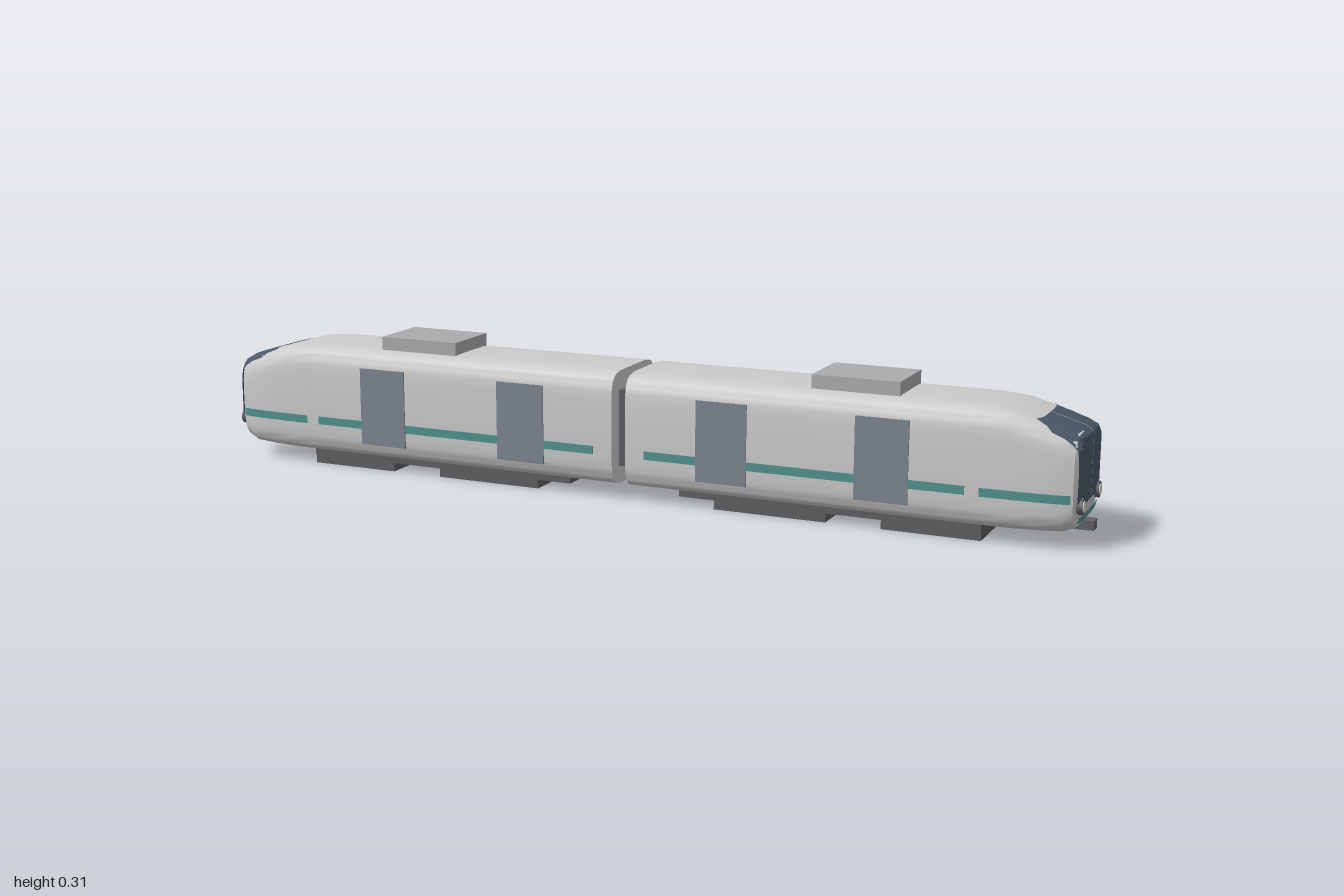
import * as THREE from 'three';
import { toCreasedNormals } from 'three/addons/utils/BufferGeometryUtils.js';

const mat = (color) => new THREE.MeshStandardMaterial({ color, side: THREE.DoubleSide });
const M = {
  body: mat(0xcccccc), roof: mat(0xa9abad), under: mat(0x5c5e61), glass: mat(0x4a5868),
  door: mat(0x7c848d), teal: mat(0x4f918c), lamp: mat(0xd8d6c8), gangway: mat(0x5a5d62),
};

// Hull cross-sections: x, half width, bottom, top, squareness
const SECTIONS = [
  [0.016, 0.113, 0.03, 0.28, 6], [0.78, 0.113, 0.03, 0.28, 6], [0.84, 0.112, 0.03, 0.275, 6],
  [0.90, 0.110, 0.031, 0.259, 5.5], [0.95, 0.106, 0.033, 0.244, 5],
  [0.974, 0.100, 0.042, 0.237, 4.5], [0.982, 0.090, 0.06, 0.231, 4.2],
];

function sectionAt(x) {
  let i = 0;
  while (i < SECTIONS.length - 2 && x > SECTIONS[i + 1][0]) i++;
  const a = SECTIONS[i], b = SECTIONS[i + 1];
  const k = THREE.MathUtils.clamp((x - a[0]) / (b[0] - a[0]), 0, 1);
  return a.map((v, j) => v + (b[j] - v) * k);
}

// Side surface of the hull at a given x and height
function hullZ(x, y) {
  const [, w, y0, y1, n] = sectionAt(x);
  const q = Math.min(1, Math.abs((2 * y - y0 - y1) / (y1 - y0)));
  return w * Math.pow(1 - Math.pow(q, n), 1 / n);
}

// Foremost hull point at a given height and sideways position
function noseX(y, z) {
  let lo = 0.7, hi = 0.982;
  for (let i = 0; i < 24; i++) {
    const mid = (lo + hi) / 2;
    if (hullZ(mid, y) > Math.abs(z)) lo = mid; else hi = mid;
  }
  return lo;
}

// Surface from a rule p(i, j); it faces along di x dj
function grid(ni, nj, p, crease = 0.6) {
  const pos = [], idx = [];
  for (let i = 0; i <= ni; i++) for (let j = 0; j <= nj; j++) pos.push(...p(i, j));
  for (let i = 0; i < ni; i++) for (let j = 0; j < nj; j++) {
    const a = i * (nj + 1) + j, b = a + nj + 1;
    idx.push(a, b, b + 1, a, b + 1, a + 1);
  }
  const g = new THREE.BufferGeometry();
  g.setAttribute('position', new THREE.Float32BufferAttribute(pos, 3));
  g.setIndex(idx);
  return toCreasedNormals(g, crease);
}

function add(parent, name, geometry, material, x = 0, y = 0, z = 0) {
  const m = new THREE.Mesh(geometry, material);
  m.name = name;
  m.position.set(x, y, z);
  parent.add(m);
  return m;
}

// Box given by its limits
function box(parent, name, material, [x0, x1], [y0, y1], [z0, z1]) {
  return add(parent, name, new THREE.BoxGeometry(x1 - x0, y1 - y0, z1 - z0), material,
    (x0 + x1) / 2, (y0 + y1) / 2, (z0 + z1) / 2);
}

// Panel laid over the nose between two heights
function nosePanel(y0, y1, halfWidth, lift, n = 16) {
  return grid(n, n, (i, j) => {
    const y = y0 + (y1 - y0) * i / n;
    const z = halfWidth(y) * (2 * j / n - 1);
    return [noseX(y, z) + lift, y, z];
  });
}

function hullGeometry() {
  const N = 40, last = SECTIONS.length - 1;
  return grid(last + 2, N, (i, j) => {
    const [x, w, y0, y1, n] = SECTIONS[THREE.MathUtils.clamp(i - 1, 0, last)];
    const s = i === 0 || i === last + 2 ? 0 : 1; // collapsed rings close the ends
    const t = (j % N) / N * Math.PI * 2;
    const f = (v) => Math.sign(v) * Math.pow(Math.abs(v), 2 / n) * s;
    return [x, (y0 + y1) / 2 + f(Math.sin(t)) * (y1 - y0) / 2, f(Math.cos(t)) * w];
  });
}

function createCar() {
  const car = new THREE.Group();
  add(car, 'hull', hullGeometry(), M.body);

  // Windscreen with cut upper corners and a centre bar
  const screenWidth = (y) => (y > 0.24 ? 0.095 - (y - 0.24) * 0.9 : y < 0.1 ? 0.087 + (y - 0.09) * 0.8 : 0.095);
  add(car, 'windscreen', nosePanel(0.09, 0.26, screenWidth, 0.004), M.glass);
  add(car, 'windscreenBar', nosePanel(0.09, 0.26, () => 0.0015, 0.006), M.roof);
  add(car, 'noseBand', nosePanel(0.056, 0.07, () => 0.08, 0.004), M.teal);
  box(car, 'coupler', M.under, [0.95, 1.0], [0.028, 0.048], [-0.014, 0.014]);

  for (const s of [1, -1]) {
    // Headlights
    const lx = noseX(0.092, 0.075);
    const rim = add(car, 'headlightRim', new THREE.CylinderGeometry(0.017, 0.017, 0.016, 24), M.under, lx, 0.092, s * 0.075);
    const lens = add(car, 'headlightLens', new THREE.CylinderGeometry(0.011, 0.011, 0.02, 24), M.lamp, lx, 0.092, s * 0.075);
    rim.rotation.z = lens.rotation.z = -Math.PI / 2;

    // Side stripes, straight and wrapping round the nose
    box(car, 'sideStripe', M.teal, [0.06, 0.76], [0.1, 0.118], s > 0 ? [0.11, 0.1145] : [-0.1145, -0.11]);
    add(car, 'noseStripe', grid(12, 1, (i, j) => {
      const x = 0.79 + 0.18 * i / 12, y = 0.1 + 0.018 * (s > 0 ? j : 1 - j);
      return [x, y, s * (hullZ(x, y) + 0.003)];
    }), M.teal);

    // Doors
    for (const x of [0.237, 0.587]) {
      box(car, 'door', M.door, [x - 0.057, x + 0.057], [0.065, 0.24], s > 0 ? [0.1, 0.1155] : [-0.1155, -0.1]);
    }
  }

  // Underfloor plate, equipment boxes and roof unit
  box(car, 'underfloorPlate', M.under, [0.13, 0.79], [0.02, 0.034], [-0.085, 0.085]);
  box(car, 'innerEquipmentBox', M.under, [0.21, 0.46], [0, 0.03], [-0.083, 0.083]);
  box(car, 'outerEquipmentBox', M.under, [0.58, 0.79], [0, 0.03], [-0.083, 0.083]);
  box(car, 'roofUnit', M.roof, [0.42, 0.61], [0.27, 0.308], [-0.071, 0.071]);
  return car;
}

export function createModel() {
  const train = new THREE.Group();
  train.name = 'train';
  ['leftCar', 'rightCar'].forEach((name, i) => {
    const car = createCar();
    car.name = name;
    car.rotation.y = i * Math.PI;
    train.add(car);
  });
  box(train, 'gangway', M.gangway, [-0.022, 0.022], [0.07, 0.238], [-0.075, 0.075]);
  return train;
}
